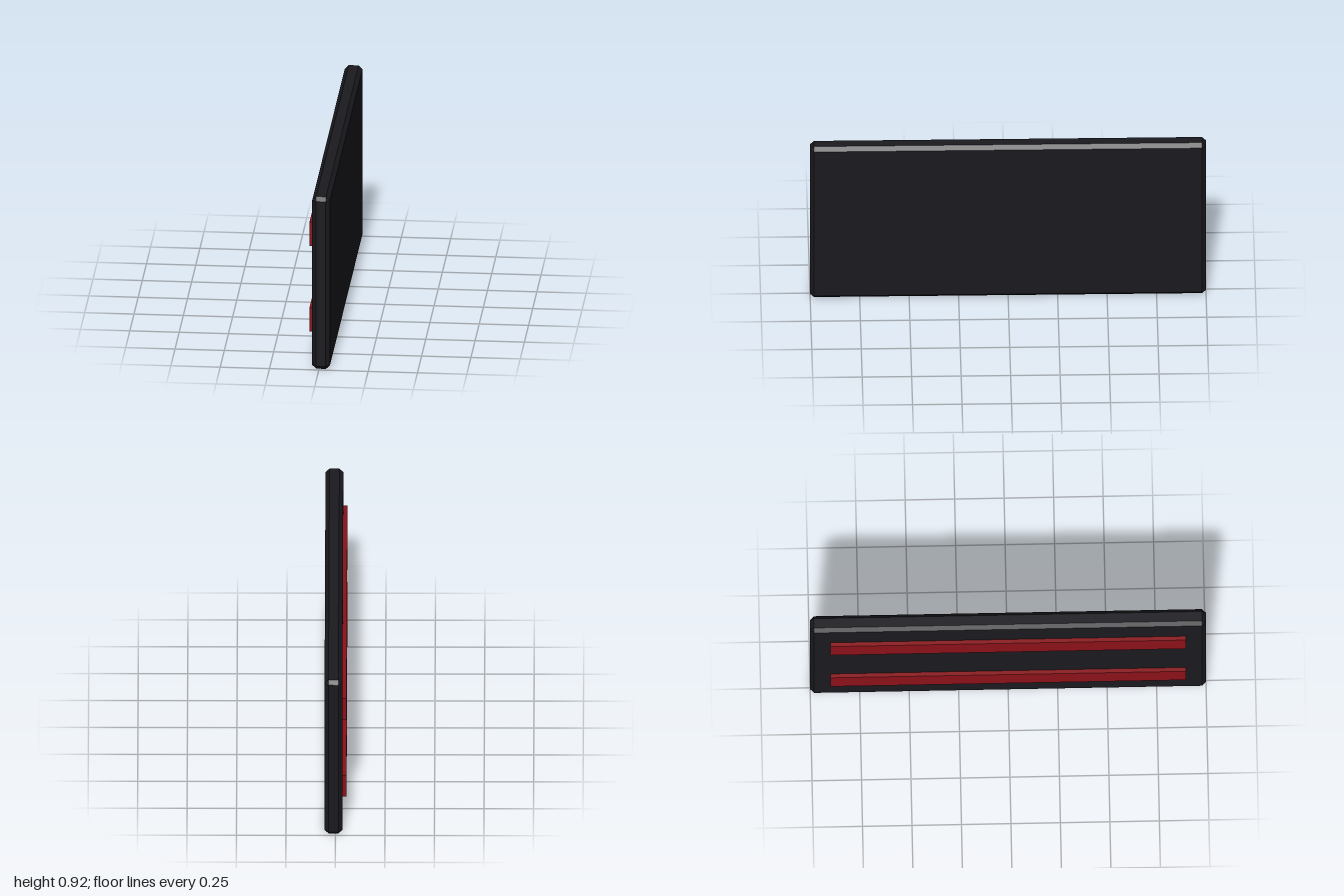
import * as THREE from 'three';
import { ConvexGeometry } from 'three/addons/geometries/ConvexGeometry.js';

// Box with every edge cut by a flat chamfer
function chamferedBox(w, h, d, c) {
  const points = [];
  for (const x of [-1, 1]) for (const y of [-1, 1]) for (const z of [-1, 1]) {
    for (let face = 0; face < 3; face++) {
      const cut = [c, c, c];
      cut[face] = 0;
      points.push(new THREE.Vector3(
        x * (w / 2 - cut[0]), y * (h / 2 - cut[1]), z * (d / 2 - cut[2])));
    }
  }
  return new ConvexGeometry(points);
}

export function createModel() {
  const model = new THREE.Group();
  const dark = new THREE.MeshStandardMaterial({ color: 0x1a1a1f, flatShading: true });
  const red = new THREE.MeshStandardMaterial({ color: 0x8b1119, flatShading: true });

  // Upright slab
  const height = 0.924;
  const panel = new THREE.Mesh(chamferedBox(0.09, height, 2, 0.02), dark);
  panel.name = 'panel';
  panel.position.set(0.01, height / 2, 0);
  model.add(panel);

  // Two long strips on the right face, slightly sunk into the slab
  for (const [name, side] of [['lowerStrip', -1], ['upperStrip', 1]]) {
    const strip = new THREE.Mesh(new THREE.BoxGeometry(0.026, 0.128, 1.795), red);
    strip.name = name;
    strip.position.set(-0.043, height / 2 + side * 0.2305, 0);
    model.add(strip);
  }
  return model;
}
